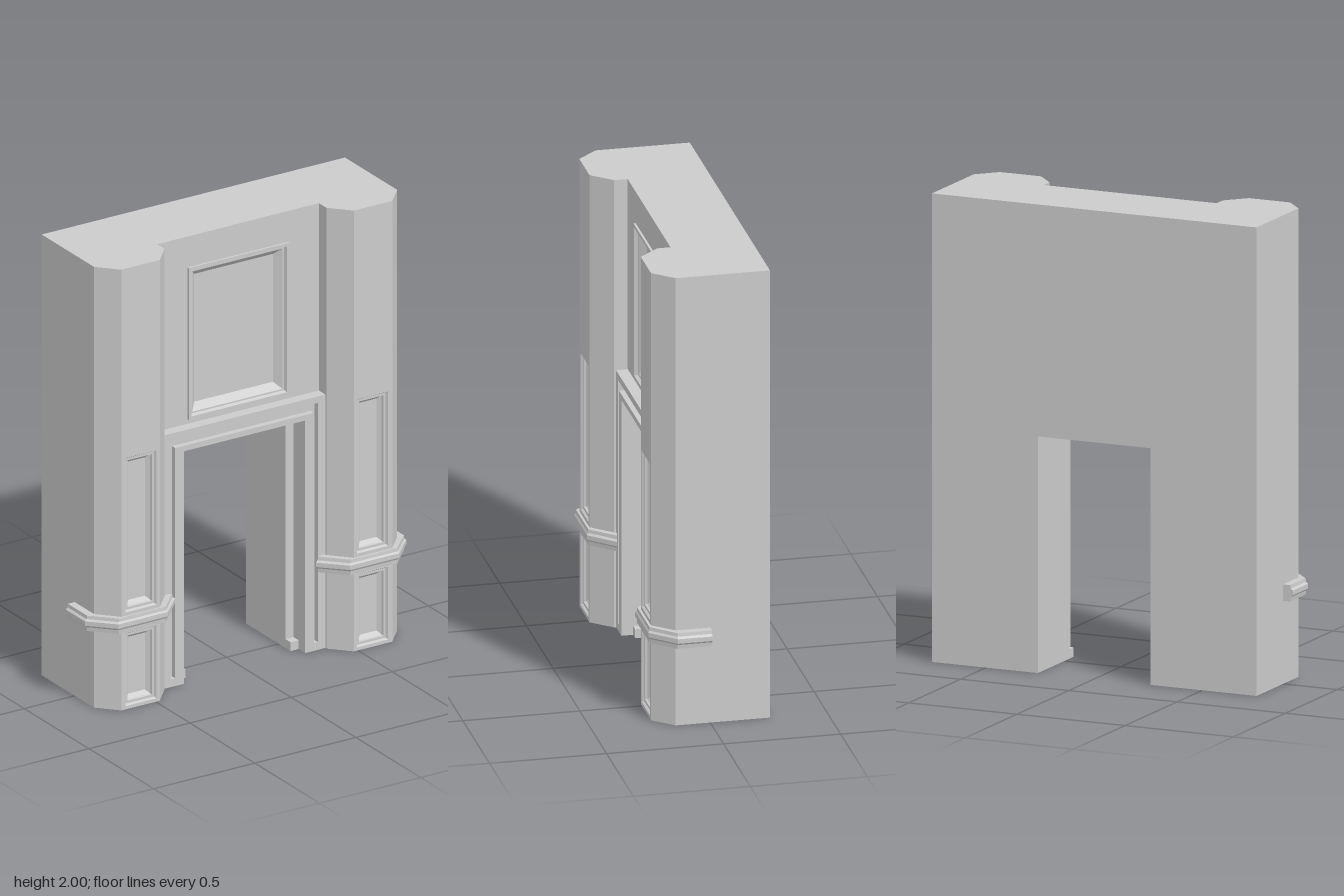
import * as THREE from 'three';

const grey = new THREE.MeshStandardMaterial({ color: 0xcccccc, flatShading: true });

function addMesh(parent, name, geometry) {
  const mesh = new THREE.Mesh(geometry, grey);
  mesh.name = name;
  parent.add(mesh);
  return mesh;
}

const shapeOf = (pts) => new THREE.Shape(pts.map(([x, y]) => new THREE.Vector2(x, y)));
const rect = (x0, x1, y0, y1) => [[x0, y0], [x1, y0], [x1, y1], [x0, y1]];

// Upright outline extruded from z0 to z1
function slab(pts, z0, z1, hole) {
  const shape = shapeOf(pts);
  if (hole) shape.holes.push(shapeOf(hole));
  const geo = new THREE.ExtrudeGeometry(shape, { depth: z1 - z0, bevelEnabled: false });
  return geo.translate(0, 0, z0);
}

// Floor plan of [x, z] points extruded from y0 to y1
function prism(plan, y0, y1) {
  const shape = shapeOf(plan.map(([x, z]) => [x, -z]));
  const geo = new THREE.ExtrudeGeometry(shape, { depth: y1 - y0, bevelEnabled: false });
  return geo.rotateX(-Math.PI / 2).translate(0, y0, 0);
}

// Skin over closed rings of [x, y, z], with end caps on request
function loft(rings, capStart, capEnd) {
  const pos = [];
  const tri = (a, b, c) => pos.push(...a, ...b, ...c);
  const n = rings[0].length;
  for (let i = 0; i < rings.length - 1; i++) {
    for (let j = 0; j < n; j++) {
      const k = (j + 1) % n;
      const [a, b, c, d] = [rings[i][j], rings[i][k], rings[i + 1][k], rings[i + 1][j]];
      tri(a, b, c);
      tri(a, c, d);
    }
  }
  const first = rings[0], last = rings[rings.length - 1];
  for (let j = 1; j < n - 1; j++) {
    if (capStart) tri(first[0], first[j + 1], first[j]);
    if (capEnd) tri(last[0], last[j], last[j + 1]);
  }
  const geo = new THREE.BufferGeometry();
  geo.setAttribute('position', new THREE.Float32BufferAttribute(pos, 3));
  geo.computeVertexNormals();
  return geo;
}

// Rectangular moulded recess; steps are [inset, z] from the rim to the floor
function recess([x0, x1, y0, y1], steps) {
  return loft(steps.map(([d, z]) =>
    rect(x0 + d, x1 - d, y0 + d, y1 - d).map(([x, y]) => [x, y, z])), false, true);
}

// Doorway outline: half width and height, around an inner half width and height
const arch = (w, h, wi, hi) =>
  [[-w, 0], [-wi, 0], [-wi, hi], [wi, hi], [wi, 0], [w, 0], [w, h], [-w, h]];

const BACK = -0.255, WALL = 0.09, FRONT = 0.235;

function buildWall(group) {
  const panel = [-0.25, 0.25, 1.17, 1.86];
  addMesh(group, 'wall', slab(arch(0.75, 2, 0.26, 1.01), BACK, 0.05));
  addMesh(group, 'wallFace', slab(arch(0.75, 2, 0.3, 1.055), 0.05, WALL, rect(...panel)));
  // Proud rim, then a bevel down to the sunk field
  addMesh(group, 'overdoorPanel', recess(panel,
    [[0, WALL], [0, 0.1], [0.014, 0.1], [0.02, 0.085], [0.027, 0.085], [0.055, 0.055]]));
}

function buildArchitrave(group) {
  addMesh(group, 'architraveOuter', slab(arch(0.4, 1.15, 0.363, 1.12), WALL, 0.14));
  addMesh(group, 'architraveGroove', slab(arch(0.363, 1.12, 0.343, 1.08), WALL, 0.115));
  addMesh(group, 'architraveInner', slab(arch(0.343, 1.08, 0.3, 1.055), WALL, 0.14));
  for (const s of [-1, 1]) {
    const stop = new THREE.BoxGeometry(0.02, 0.035, 0.025);
    addMesh(group, 'grooveStop', stop.translate(s * 0.353, 0.0175, 0.1275));
    const block = new THREE.BoxGeometry(0.04, 0.04, 0.04);
    addMesh(group, 'jambBlock', block.translate(s * 0.28, 0.02, 0.07));
  }
}

function buildPillar(s) {
  const pillar = new THREE.Group();
  pillar.name = s > 0 ? 'leftPillar' : 'rightPillar';
  const px0 = 0.495, px1 = 0.65, depth = 0.195;
  const plan = (notch) => [
    [0.75, WALL], [0.75, 0.148], [0.67, FRONT],
    ...(notch ? [[px1, FRONT], [px1, depth], [px0, depth], [px0, FRONT]] : []),
    [0.48, FRONT], [0.4, 0.148], [0.4, WALL],
  ].map(([x, z]) => [s * x, z]);

  // Shaft in courses, notched where a panel is sunk
  const courses = [0, 0.015, 0.345, 0.44, 1.14, 2];
  for (let i = 0; i < courses.length - 1; i++) {
    const sunk = i % 2 === 1;
    const y0 = courses[i], y1 = courses[i + 1];
    addMesh(pillar, 'shaft', prism(plan(sunk), y0, y1));
    if (!sunk) continue;
    const xs = s > 0 ? [px0, px1] : [-px1, -px0];
    addMesh(pillar, i === 1 ? 'lowerPanel' : 'upperPanel', recess([...xs, y0, y1],
      [[0, FRONT], [0.006, 0.225], [0.017, 0.225], [0.02, 0.215], [0.036, 0.2]]));
  }

  // Dado moulding wrapped round the pillar: inner [x, z], outer [x, z]
  let path = [
    [0.748, 0, 0.795, 0], [0.748, 0.145, 0.795, 0.148], [0.67, 0.225, 0.695, 0.252],
    [0.48, 0.225, 0.45, 0.252], [0.4, 0.135, 0.348, 0.148],
  ].map(([a, b, c, d]) => [s * a, b, s * c, d]);
  if (s < 0) path = path.reverse();
  const profile = [[0, 0.355], [0.75, 0.355], [0.8, 0.373], [1, 0.382],
    [1, 0.402], [0.8, 0.41], [0.75, 0.425], [0, 0.425]];
  addMesh(pillar, 'dadoMoulding', loft(path.map(([xi, zi, xo, zo]) =>
    profile.map(([t, y]) => [xi + (xo - xi) * t, y, zi + (zo - zi) * t])), true, true));
  return pillar;
}

export function createModel() {
  const model = new THREE.Group();
  model.name = 'panelledDoorway';
  buildWall(model);
  buildArchitrave(model);
  for (const s of [-1, 1]) model.add(buildPillar(s));
  return model;
}
